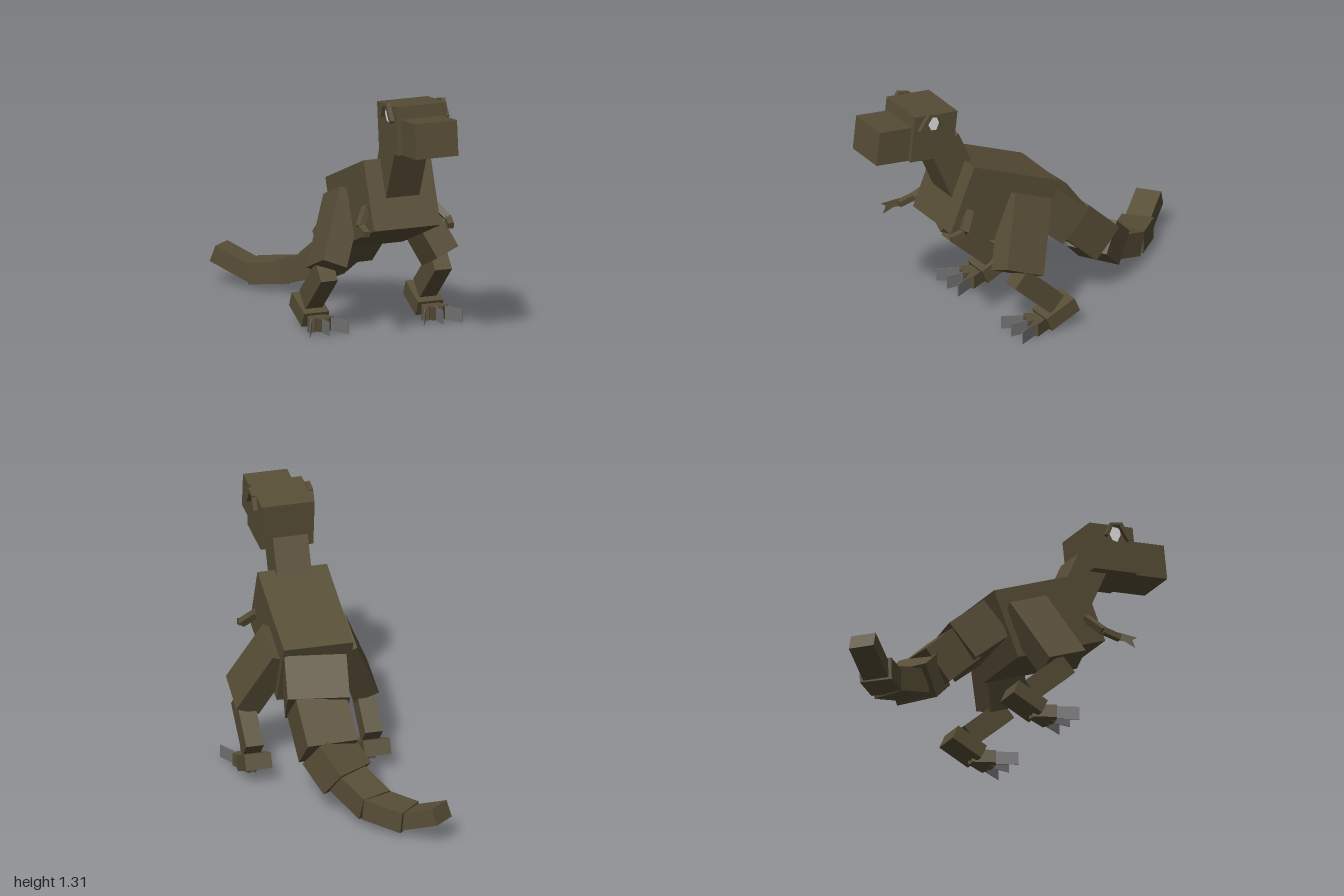
import * as THREE from 'three';

const MID = 0.02; // x of the body's plane of symmetry
const V = (p) => new THREE.Vector3(...p);

export function createModel() {
  const root = new THREE.Group();
  root.name = 'blockDinosaur';
  const hide = new THREE.MeshStandardMaterial({ color: 0x584e37, flatShading: true });
  hide.name = 'brownHide';
  const claw = new THREE.MeshStandardMaterial({ color: 0x707070, side: THREE.DoubleSide });
  claw.name = 'greyClaw';
  const white = new THREE.MeshStandardMaterial({ color: 0xe4e4e4, side: THREE.DoubleSide });
  white.name = 'eyeWhite';
  const skinSheet = new THREE.MeshStandardMaterial({ color: 0x584e37, side: THREE.DoubleSide });
  skinSheet.name = 'brownSheet';

  const add = (name, geometry, material, parent = root) => {
    const mesh = new THREE.Mesh(geometry, material);
    mesh.name = name;
    parent.add(mesh);
    return mesh;
  };

  // Box pitched in the side plane: size is x, y, z
  const block = (name, size, y, z, pitch) => {
    const mesh = add(name, new THREE.BoxGeometry(...size), hide);
    mesh.position.set(MID, y, z);
    mesh.rotation.x = pitch;
    return mesh;
  };

  // Box running from a to b; depth is measured along the hint direction
  const limb = (name, a, b, width, depth, hint, material = hide, parent = root) => {
    const start = V(a), end = V(b);
    const yAxis = start.clone().sub(end);
    const length = yAxis.length();
    yAxis.normalize();
    const xAxis = new THREE.Vector3().crossVectors(yAxis, V(hint)).normalize();
    const zAxis = new THREE.Vector3().crossVectors(xAxis, yAxis);
    const mesh = add(name, new THREE.BoxGeometry(width, length, depth), material, parent);
    mesh.quaternion.setFromRotationMatrix(new THREE.Matrix4().makeBasis(xAxis, yAxis, zAxis));
    mesh.position.copy(start).add(end).multiplyScalar(0.5);
    return mesh;
  };

  // Trunk, neck and head
  block('body', [0.37, 0.372, 0.555], 0.675, 0.277, -0.39);
  block('neck', [0.185, 0.31, 0.18], 0.938, 0.52, 0.41);
  block('head', [0.28, 0.252, 0.256], 1.167, 0.677, -0.11);
  block('snout', [0.234, 0.185, 0.21], 1.157, 0.893, -0.11);

  // Eyes with raised brow slats
  const eyeShape = new THREE.Shape([
    [-0.03, 0.038], [0.033, 0.038], [0.036, 0.0], [0.018, -0.04], [-0.012, -0.036], [-0.034, 0.005],
  ].map(([x, y]) => new THREE.Vector2(x, y)));
  for (const s of [1, -1]) {
    const eye = add(s > 0 ? 'leftEye' : 'rightEye', new THREE.ShapeGeometry(eyeShape), white);
    eye.position.set(MID + s * 0.1425, 1.245, 0.682);
    eye.rotation.y = s * Math.PI / 2;
    const x = MID + s * 0.151;
    limb('frontBrow', [x, 1.222, 0.765], [x, 1.305, 0.705], 0.024, 0.024, [0, 0, 1]);
    limb('topBrow', [x, 1.303, 0.715], [x, 1.288, 0.65], 0.024, 0.014, [0, 1, 0]);
    limb('rearBrow', [x, 1.285, 0.655], [x, 1.222, 0.63], 0.024, 0.018, [0, 0, 1]);
  }

  // Hind legs, mirrored
  for (const s of [1, -1]) {
    const leg = new THREE.Group();
    leg.name = s > 0 ? 'leftLeg' : 'rightLeg';
    root.add(leg);
    const p = (x, y, z) => [MID + s * x, y, z];
    limb('thigh', p(0.16, 0.695, 0.137), p(0.315, 0.355, 0.282), 0.135, 0.235, [0, 0.08, 0.22], hide, leg);
    limb('shin', p(0.316, 0.335, 0.287), p(0.316, 0.137, 0.07), 0.093, 0.115, [0, 0, 1], hide, leg);
    limb('foot', p(0.316, 0.122, -0.033), p(0.316, 0.047, 0.135), 0.14, 0.083, [0, 1, 0], hide, leg);
    for (const k of [-1, 0, 1]) {
      const at = (d) => p(0.316 + d * Math.sin(0.45 * k), 0.036, 0.1 + d * Math.cos(0.45 * k));
      limb('toe', at(0), at(0.125), 0.042, 0.07, [0, 1, 0], hide, leg);
      limb('toeClaw', at(0.12), at(k ? 0.242 : 0.22), 0.004, 0.07, [0, 1, 0], claw, leg);
    }
  }

  // Small arms: the right one reaches forward, the left one is folded
  const arms = {
    leftArm: [[0.2, 0.71, 0.49], [0.262, 0.63, 0.56], [0.25, 0.605, 0.63]],
    rightArm: [[-0.16, 0.71, 0.49], [-0.222, 0.63, 0.56], [-0.225, 0.61, 0.655]],
  };
  for (const [name, [shoulder, elbow, wrist]] of Object.entries(arms)) {
    const arm = new THREE.Group();
    arm.name = name;
    root.add(arm);
    limb('upperArm', shoulder, elbow, 0.035, 0.04, [0, 0, 1], hide, arm);
    limb('forearm', elbow, wrist, 0.032, 0.032, [0, 1, 0], hide, arm);
  }
  const handShape = new THREE.Shape([
    [0, 0.035], [0.095, 0.01], [0.07, -0.005], [0.085, -0.05], [0.03, -0.015], [0, -0.01],
  ].map(([x, y]) => new THREE.Vector2(x, y)));
  const hand = add('rightHand', new THREE.ShapeGeometry(handShape), skinSheet);
  hand.position.set(-0.225, 0.605, 0.65);
  hand.rotation.y = -Math.PI / 2 - 0.42;

  // Tail: end centre, width, height of each segment
  const tail = [
    [[0.06, 0.455, -0.17], 0.32, 0.225],
    [[0.05, 0.288, -0.345], 0.27, 0.21],
    [[-0.02, 0.175, -0.455], 0.23, 0.185],
    [[-0.11, 0.105, -0.655], 0.175, 0.13],
    [[-0.255, 0.082, -0.8], 0.17, 0.115],
    [[-0.385, 0.16, -0.952], 0.135, 0.09],
  ];
  let from = V([0.03, 0.6, 0]);
  tail.forEach(([end, width, height], i) => {
    const to = V(end);
    // Each segment starts slightly inside the one before
    const start = from.clone().addScaledVector(to.clone().sub(from).normalize(), -0.02);
    limb(`tailSegment${i + 1}`, start.toArray(), end, width, height, [0, 1, 0]);
    from = to;
  });

  return root;
}
